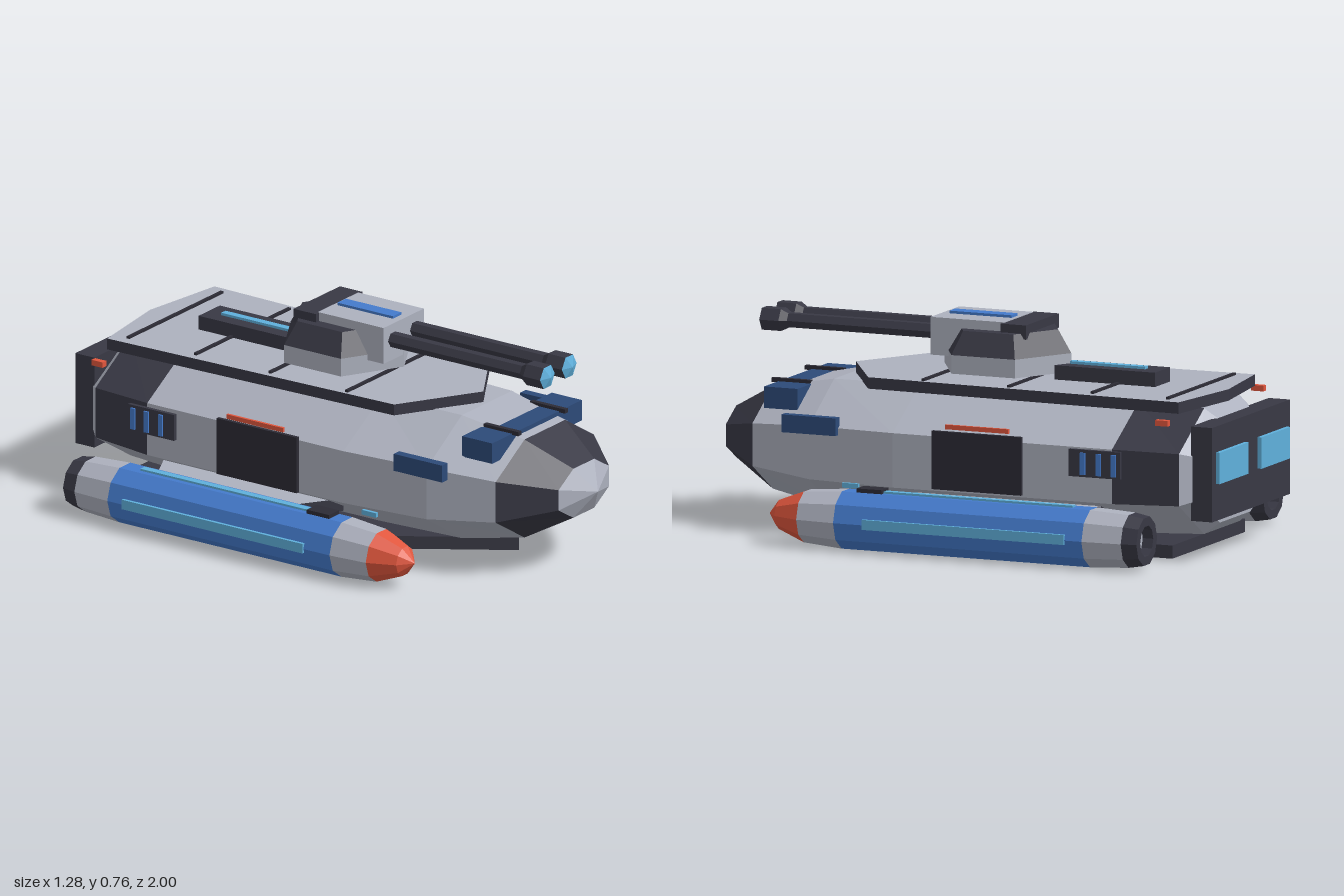
import * as THREE from 'three';

const mat = (name, color) => {
  const m = new THREE.MeshStandardMaterial({ color, flatShading: true });
  m.name = name;
  return m;
};

export function createModel() {
  const model = new THREE.Group();
  const light = mat('light grey', 0xadb1be), dark = mat('dark grey', 0x383844);
  const charcoal = mat('charcoal', 0x2c2b35), blue = mat('blue', 0x447acb);
  const navy = mat('navy', 0x2d4a78), cyan = mat('cyan', 0x5fb0dc), red = mat('red', 0xe0563d);

  const add = (name, geo, material) => {
    const m = new THREE.Mesh(geo, material);
    m.name = name;
    model.add(m);
    return m;
  };
  // Box given by its min and max on each axis
  const box = (name, material, x0, x1, y0, y1, z0, z1) => {
    const g = new THREE.BoxGeometry(Math.abs(x1 - x0), y1 - y0, z1 - z0);
    g.translate((x0 + x1) / 2, (y0 + y1) / 2, (z0 + z1) / 2);
    return add(name, g, material);
  };
  // Flat plate from an x,z outline between two heights
  const plate = (name, materials, pts, y0, y1) => {
    const shape = new THREE.Shape(pts.map(([x, z]) => new THREE.Vector2(x, z)));
    const g = new THREE.ExtrudeGeometry(shape, { depth: y1 - y0, bevelEnabled: false });
    g.rotateX(Math.PI / 2).translate(0, y1, 0);
    return add(name, g, materials);
  };
  // Octagonal skin through stations [z, halfWidth, halfHeight], z rising
  const loft = (name, material, stations, sides = [0, 1, 2, 3, 4, 5, 6, 7]) => {
    const pos = [];
    const c = Math.cos(Math.PI / 8);
    const point = ([z, w, h], k) => {
      const a = Math.PI / 8 + (k * Math.PI) / 4;
      return [(w * Math.cos(a)) / c, 0.29 + (h * Math.sin(a)) / c, z];
    };
    for (let i = 0; i < stations.length - 1; i++) {
      for (const k of sides) {
        const a = point(stations[i], k), b = point(stations[i], k + 1);
        const d = point(stations[i + 1], k), e = point(stations[i + 1], k + 1);
        pos.push(...a, ...b, ...e, ...a, ...e, ...d);
      }
    }
    const g = new THREE.BufferGeometry();
    g.setAttribute('position', new THREE.Float32BufferAttribute(pos, 3));
    g.computeVertexNormals();
    return add(name, g, material);
  };

  // Hull
  const tail = [-0.87, 0.36, 0.22], aft = [-0.63, 0.39, 0.23];
  const shoulder = [0.775, 0.292, 0.18], snout = [0.94, 0.15, 0.09];
  loft('hull', light, [aft, [0.2, 0.39, 0.23], [0.53, 0.36, 0.226], shoulder]);
  loft('hullTail', light, [[-0.92, 0, 0], [-0.92, 0.31, 0.18], tail]);
  loft('aftArmour', dark, [tail, aft], [0, 2, 3, 7]);
  loft('aftSkin', light, [tail, aft], [1, 4, 5, 6]);
  loft('noseCone', dark, [shoulder, snout]);
  loft('noseTip', light, [snout, [1, 0, 0]]);

  // Deck, its ribs and the belly plate
  plate('deck', [light, dark], [[-0.32, -0.85], [0, -0.895], [0.32, -0.85],
    [0.285, 0.34], [0, 0.515], [-0.285, 0.34]], 0.515, 0.555);
  for (const z of [-0.79, -0.505, -0.19, 0.135]) {
    box('deckRib', charcoal, -0.28, 0.28, 0.55, 0.563, z - 0.006, z + 0.006);
  }
  plate('bellyPlate', dark, [[-0.305, -0.82], [0.305, -0.82],
    [0.305, 0.2], [0, 0.665], [-0.305, 0.2]], 0.004, 0.05);

  // Rear engine block
  box('engineBlock', dark, -0.325, 0.325, 0.145, 0.475, -0.98, -0.9);

  // Front bumper
  box('frontBumper', navy, -0.267, 0.267, 0.417, 0.492, 0.615, 0.742);

  // Spine box behind the turret
  box('spineBox', dark, -0.063, 0.063, 0.555, 0.605, -0.645, -0.265);
  box('spineLight', cyan, -0.013, 0.013, 0.605, 0.614, -0.585, -0.3);

  // Turret
  const hex = (name, material, rTop, rBottom, y0, y1) => {
    const g = new THREE.CylinderGeometry(rTop, rBottom, y1 - y0, 6);
    g.translate(0, (y0 + y1) / 2, -0.06);
    add(name, g, material);
  };
  hex('turretNeck', dark, 0.07, 0.07, 0.55, 0.58);
  hex('turretBase', light, 0.24, 0.24, 0.575, 0.64);
  hex('turretArmour', dark, 0.19, 0.24, 0.64, 0.72);
  box('gunHousing', light, -0.12, 0.12, 0.62, 0.752, -0.1, 0.178);
  box('turretBar', dark, -0.138, 0.138, 0.7, 0.75, -0.19, -0.095);
  box('turretStripe', blue, -0.025, 0.025, 0.752, 0.761, -0.085, 0.15);

  // Revolved part along z from [radius, z] points, z falling
  const spin = (name, material, pts, sides, x, y, phi) => {
    const profile = pts.map(([r, z]) => new THREE.Vector2(r, z));
    const g = new THREE.LatheGeometry(profile, sides, phi);
    g.rotateX(Math.PI / 2).translate(x, y, 0);
    return add(name, g, material);
  };

  for (const s of [-1, 1]) {
    // Guns
    const gx = s * 0.065, gy = 0.695, turn = Math.PI / 6;
    spin('barrel', dark, [[0.028, 0.17], [0.028, 0.75]], 6, gx, gy, turn);
    spin('muzzle', dark, [[0.028, 0.735], [0.044, 0.76], [0.044, 0.832]], 6, gx, gy, turn);
    spin('muzzleGlow', cyan, [[0.044, 0.832], [0, 0.847]], 6, gx, gy, turn);

    // Pods
    const px = s * 0.53, py = 0.1, tilt = Math.PI / 10;
    const pod = (name, material, pts) => spin(name, material, pts, 10, px, py, tilt);
    pod('podNozzle', dark, [[0.055, -0.77], [0.055, -0.825], [0.087, -0.825], [0.097, -0.77]]);
    pod('podNozzleCore', light, [[0, -0.785], [0.055, -0.785]]).material = light;
    pod('podRear', light, [[0.097, -0.77], [0.105, -0.625]]);
    pod('podBody', blue, [[0.105, -0.625], [0.105, 0.315]]);
    pod('podFront', light, [[0.105, 0.315], [0.093, 0.46]]);
    pod('podNose', red, [[0.093, 0.46], [0.053, 0.56], [0, 0.602]]);
    box('podTopLight', cyan, px - 0.013, px + 0.013, 0.198, 0.207, -0.55, 0.205);
    box('podSideLight', cyan, s * 0.625, s * 0.64, 0.085, 0.12, -0.56, 0.205);
    box('podCap', charcoal, px - 0.03, px + 0.03, 0.195, 0.214, 0.165, 0.26);
    plate('podPylon', [light, dark], [[s * 0.32, -0.6], [s * 0.465, -0.53],
      [s * 0.465, 0.05], [s * 0.32, 0.15]], 0.135, 0.18);

    // Side door with its red lamp
    box('sideDoor', charcoal, s * 0.42, s * 0.434, 0.208, 0.412, -0.305, 0.033);
    box('doorLamp', red, s * 0.43, s * 0.44, 0.422, 0.438, -0.26, -0.02);

    // Vent with slats
    box('vent', dark, s * 0.42, s * 0.434, 0.29, 0.385, -0.68, -0.485);
    for (const z of [-0.54, -0.6, -0.657]) {
      box('ventSlat', blue, s * 0.434, s * 0.441, 0.298, 0.375, z - 0.009, z + 0.009);
    }

    // Small fittings
    box('sideMarker', cyan, s * 0.424, s * 0.436, 0.19, 0.207, 0.31, 0.37);
    box('tailLamp', red, s * 0.39, s * 0.412, 0.484, 0.504, -0.85, -0.803);
    box('cheekBox', navy, s * 0.36, s * 0.393, 0.36, 0.422, 0.415, 0.62);
    box('bumperBar', charcoal, s * 0.13, s * 0.148, 0.488, 0.503, 0.62, 0.768);
    box('engineWindow', cyan, s * 0.055, s * 0.295, 0.275, 0.385, -0.995, -0.98);
  }
  return model;
}
